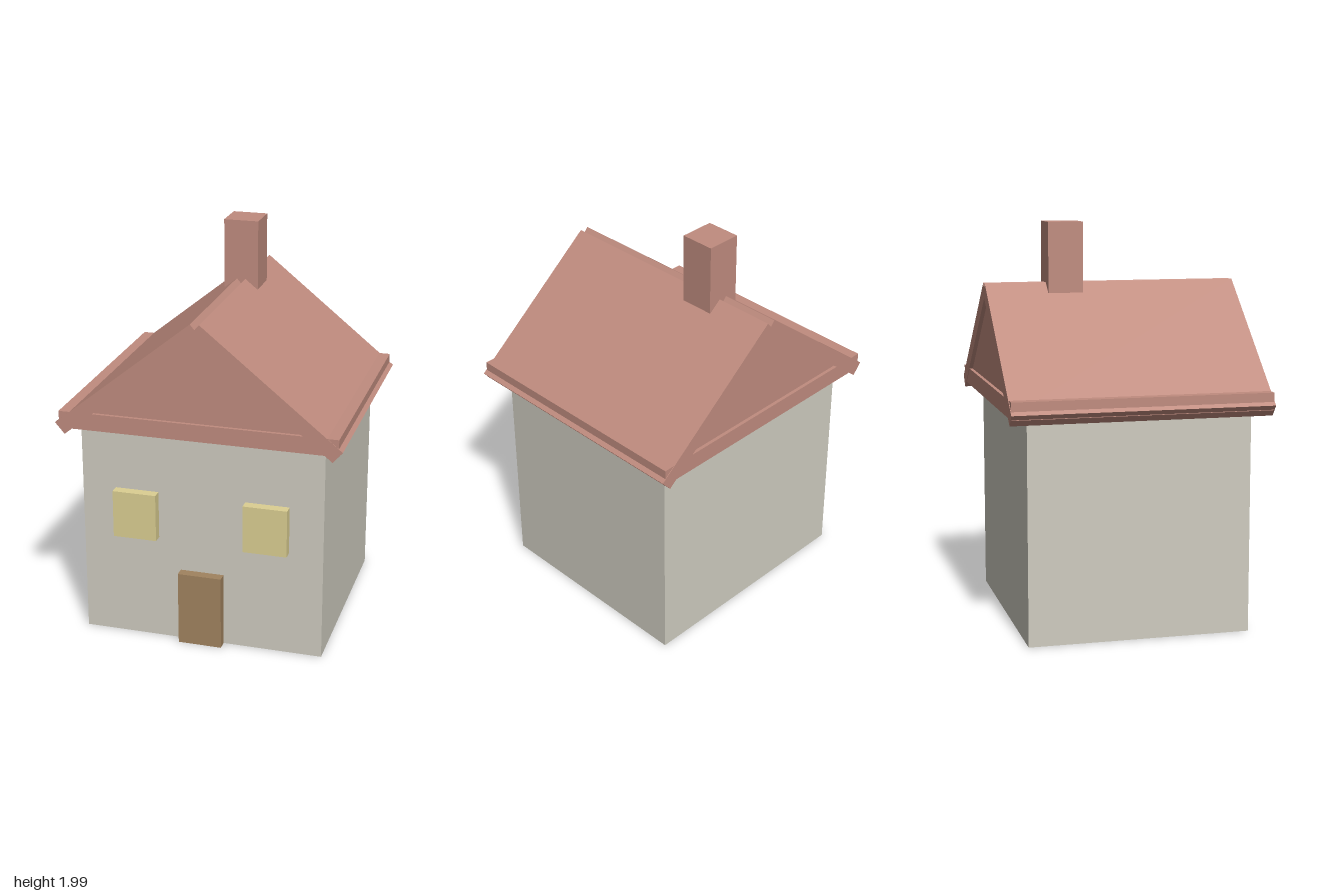
import * as THREE from 'three';

const material = (color) => new THREE.MeshStandardMaterial({ color });
const wallMat = material(0xcfccc0);
const roofMat = material(0xc08c7f);
const windowMat = material(0xdccf92);
const doorMat = material(0xa1835f);

// Box given by its minimum and maximum corners
function box(name, mat, [x0, y0, z0], [x1, y1, z1]) {
  const mesh = new THREE.Mesh(new THREE.BoxGeometry(x1 - x0, y1 - y0, z1 - z0), mat);
  mesh.position.set((x0 + x1) / 2, (y0 + y1) / 2, (z0 + z1) / 2);
  mesh.name = name;
  return mesh;
}

// Outline in x, y extruded evenly about z = 0
function prism(name, mat, points, halfDepth) {
  const shape = new THREE.Shape(points.map(([x, y]) => new THREE.Vector2(x, y)));
  const geometry = new THREE.ExtrudeGeometry(shape, { depth: halfDepth * 2, bevelEnabled: false });
  geometry.translate(0, 0, -halfDepth);
  const mesh = new THREE.Mesh(geometry, mat);
  mesh.name = name;
  return mesh;
}

export function createModel() {
  const house = new THREE.Group();
  house.name = 'house';

  // Body
  house.add(box('walls', wallMat, [-0.61, 0.01, -0.55], [0.61, 1.14, 0.55]));

  // Door and windows stand proud of the front wall
  house.add(box('door', doorMat, [-0.11, 0.01, 0.5], [0.11, 0.39, 0.6]));
  for (const [name, x] of [['rightWindow', -0.33], ['leftWindow', 0.33]]) {
    house.add(box(name, windowMat, [x - 0.11, 0.555, 0.5], [x + 0.11, 0.797, 0.6]));
  }

  // Roof: flat eaves band, recessed gable and two sloping slabs with a notched ridge
  const roof = new THREE.Group();
  roof.name = 'roof';
  roof.add(box('eavesBand', roofMat, [-0.69, 1.12, -0.637], [0.69, 1.205, 0.637]));
  roof.add(prism('gable', roofMat, [[-0.56, 1.19], [0.56, 1.19], [0, 1.65]], 0.62));
  for (const [name, s] of [['rightSlab', -1], ['leftSlab', 1]]) {
    const outline = [[0.022, 1.7], [-0.025, 1.645], [0.662, 1.09], [0.709, 1.145]];
    roof.add(prism(name, roofMat, outline.map(([x, y]) => [x * s, y]), 0.64));
  }
  house.add(roof);

  // Chimney behind the middle of the ridge
  house.add(box('chimney', roofMat, [-0.088, 1.65, -0.333], [0.088, 2, -0.157]));

  return house;
}
